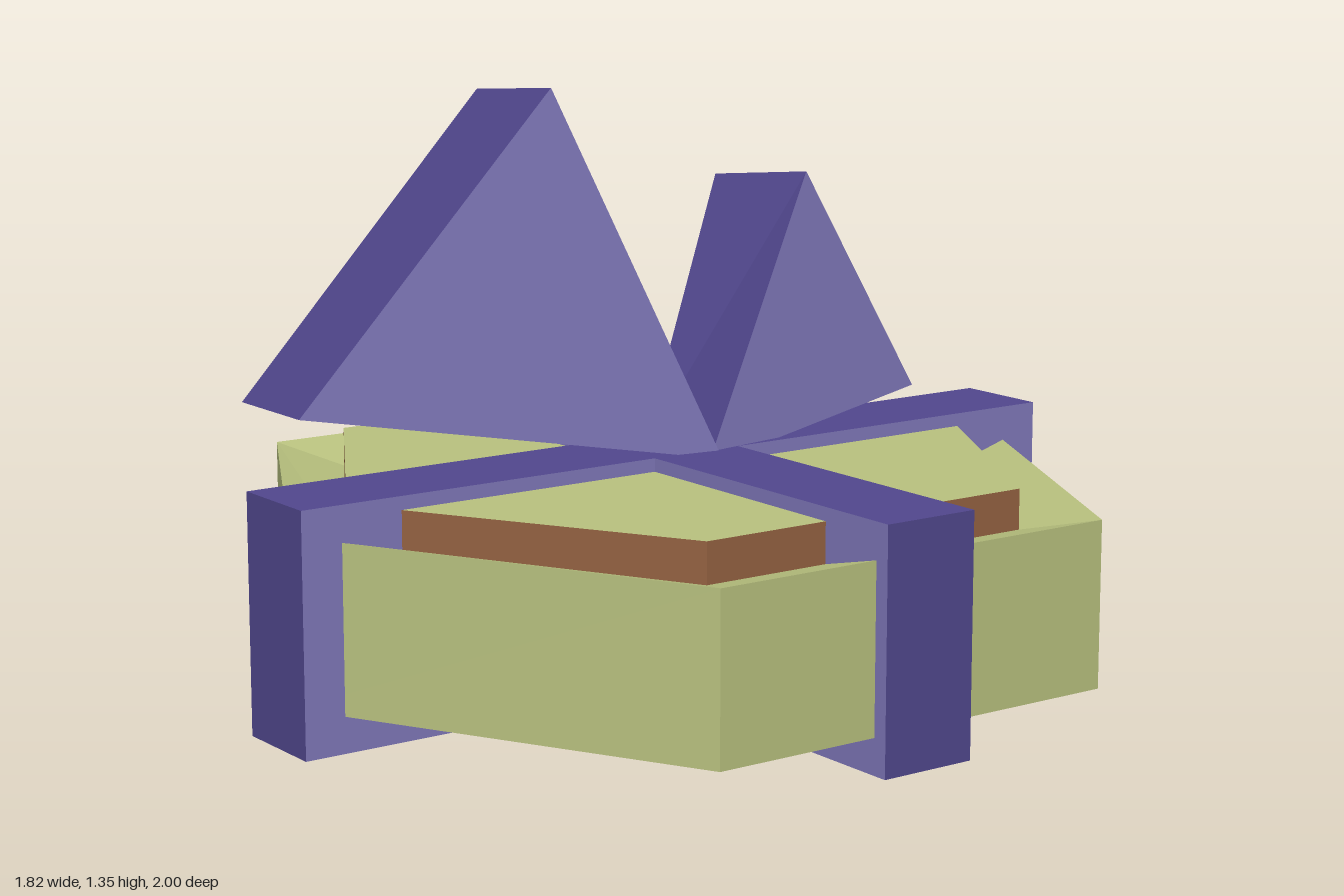
import * as THREE from 'three';

const mat = (name, color) => {
  const m = new THREE.MeshStandardMaterial({ color });
  m.name = name;
  return m;
};

// Flat-faced geometry from a list of polygons, each a counter-clockwise point loop
function facesGeometry(polys) {
  const pos = [];
  for (const p of polys)
    for (let i = 1; i < p.length - 1; i++) pos.push(...p[0], ...p[i], ...p[i + 1]);
  const g = new THREE.BufferGeometry();
  g.setAttribute('position', new THREE.Float32BufferAttribute(pos, 3));
  g.computeVertexNormals();
  return g;
}

// Hexagon ring: half width, z of the side corners, z of the front and back corners
const hexRing = ([w, s, p], y) =>
  [[0, p], [w, s], [w, -s], [0, -p], [-w, -s], [-w, s]].map(([x, z]) => [x, y, z]);

// Join successive rings into one skin
function skin(rings) {
  const polys = [];
  for (let r = 0; r < rings.length - 1; r++)
    for (let j = 0; j < 6; j++) {
      const k = (j + 1) % 6, a = rings[r], b = rings[r + 1];
      polys.push([a[j], a[k], b[k], b[j]]);
    }
  return facesGeometry(polys);
}

export function createModel() {
  const olive = mat('olive', 0xbac380);
  const brown = mat('brown', 0x966342);
  const ribbonEdge = mat('dark purple', 0x52488f);
  const ribbonSide = mat('light purple', 0x827abd);

  const model = new THREE.Group();
  const add = (name, geometry, material, parent = model) => {
    const m = new THREE.Mesh(geometry, material);
    m.name = name;
    parent.add(m);
  };

  // Box: outer shell with rims sloping in towards the centre block
  const outer = [0.875, 0.505, 0.965], inner = [0.712, 0.417, 0.827];
  add('boxShell', skin([
    hexRing(inner, 0.12), hexRing(outer, 0.08), hexRing(outer, 0.45), hexRing(inner, 0.41),
  ]), olive);

  // Centre block: brown sides, olive lid and base
  const low = hexRing(inner, 0.085), high = hexRing(inner, 0.5);
  add('centreBlockSides', skin([low, high]), brown);
  add('lid', facesGeometry([high]), olive);
  add('base', facesGeometry([[...low].reverse()]), olive);

  // Crossed ribbons, light on their flat sides
  const e = ribbonEdge, s = ribbonSide;
  const ribbons = [
    ['ribbonFrontToBack', [0.228, 0.53, 2], [s, s, e, e, e, e]],
    ['ribbonSideToSide', [1.82, 0.53, 0.228], [e, e, e, e, s, s]],
  ];
  for (const [name, size, mats] of ribbons)
    add(name, new THREE.BoxGeometry(...size).translate(0, 0.265, 0), mats);

  // Bow loops: wedges between a left (+x) and a right (-x) triangle
  const bowLoop = (name, left, right) => {
    const g = new THREE.Group();
    g.name = name;
    add('loopSides', facesGeometry([left, [...right].reverse()]), ribbonSide, g);
    add('loopBand', facesGeometry(left.map((p, i) => {
      const k = (i + 1) % 3;
      return [p, right[i], right[k], left[k]];
    })), ribbonEdge, g);
    model.add(g);
  };
  bowLoop('largeBowLoop',
    [[-0.01, 0.69, 0.93], [0.13, 0.51, -0.06], [0.06, 1.35, 0.345]],
    [[-0.44, 0.65, 0.83], [-0.18, 0.48, -0.1], [-0.38, 1.31, 0.25]]);
  bowLoop('smallBowLoop',
    [[0.015, 0.59, -0.705], [0.03, 1.12, -0.37], [0.13, 0.5, -0.02]],
    [[-0.265, 0.565, -0.665], [-0.26, 1.09, -0.33], [-0.175, 0.48, -0.06]]);

  return model;
}
